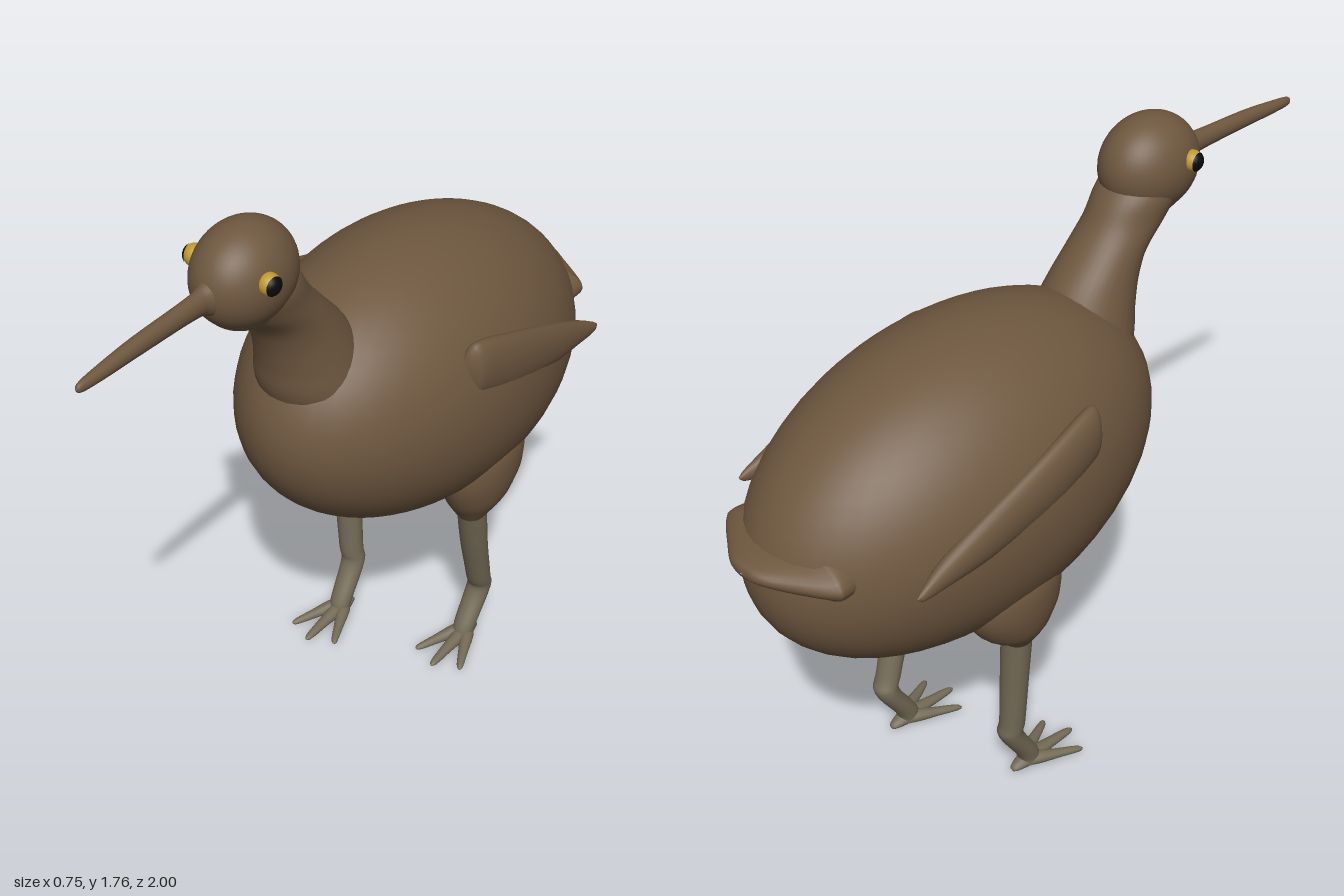
import * as THREE from 'three';

const plumage = new THREE.MeshStandardMaterial({ color: 0x6e573f });
plumage.name = 'brown plumage';
const legSkin = new THREE.MeshStandardMaterial({ color: 0x746b57 });
legSkin.name = 'grey leg skin';
const iris = new THREE.MeshStandardMaterial({ color: 0xc09a30 });
iris.name = 'yellow iris';
const pupilBlack = new THREE.MeshStandardMaterial({ color: 0x0a0a0a });
pupilBlack.name = 'black pupil';

// Smooth skin over elliptical rings. Each row is [x, y, z, radiusA, radiusB];
// rows ascend along the axis, 'z' (radii in x, y) or 'y' (radii in x, z).
function loft(rows, axis, sides = 24, steps = 5) {
  const centres = new THREE.CatmullRomCurve3(rows.map(r => new THREE.Vector3(r[0], r[1], r[2])), false, 'catmullrom');
  const radii = new THREE.CatmullRomCurve3(rows.map(r => new THREE.Vector3(r[3], r[4], 0)), false, 'catmullrom');
  const count = (rows.length - 1) * steps;
  const positions = [], index = [];
  for (let i = 0; i <= count; i++) {
    const c = centres.getPoint(i / count), r = radii.getPoint(i / count);
    const a = Math.max(r.x, 0.0005), b = Math.max(r.y, 0.0005);
    for (let j = 0; j < sides; j++) {
      const t = (j / sides) * Math.PI * 2;
      if (axis === 'z') positions.push(c.x + a * Math.cos(t), c.y + b * Math.sin(t), c.z);
      else positions.push(c.x + a * Math.sin(t), c.y, c.z + b * Math.cos(t));
      if (i < count) {
        const k = i * sides, n = (j + 1) % sides;
        index.push(k + j, k + n, k + sides + j, k + n, k + sides + n, k + sides + j);
      }
    }
  }
  const g = new THREE.BufferGeometry();
  g.setAttribute('position', new THREE.Float32BufferAttribute(positions, 3));
  g.setIndex(index);
  g.computeVertexNormals();
  return g;
}

function add(parent, name, geometry, material) {
  const mesh = new THREE.Mesh(geometry, material);
  mesh.name = name;
  parent.add(mesh);
  return mesh;
}

function ellipsoid(rx, ry, rz) {
  return new THREE.SphereGeometry(1, 48, 32).scale(rx, ry, rz);
}

// Leg with a bent ankle and a splayed foot; z is the fore-aft place of the ankle
function makeLeg(side, ankleZ) {
  const leg = new THREE.Group();
  leg.name = side > 0 ? 'leftLeg' : 'rightLeg';
  const footX = side * 0.187, footZ = ankleZ + 0.065;
  add(leg, 'thigh', loft([
    [side * 0.225, 0.535, -0.30, 0.038, 0.038],
    [side * 0.225, 0.56, -0.305, 0.055, 0.06],
    [side * 0.23, 0.62, -0.32, 0.085, 0.115],
    [side * 0.235, 0.71, -0.33, 0.1, 0.155],
    [side * 0.235, 0.80, -0.33, 0.09, 0.14],
    [side * 0.22, 0.88, -0.33, 0.03, 0.05],
  ], 'y'), plumage);
  add(leg, 'shank', loft([
    [footX, 0.012, footZ + 0.005, 0.03, 0.03],
    [footX, 0.05, footZ, 0.033, 0.034],
    [side * 0.19, 0.16, ankleZ, 0.037, 0.036],
    [side * 0.197, 0.22, ankleZ + (-0.3 - ankleZ) * 0.14, 0.037, 0.037],
    [side * 0.21, 0.40, ankleZ + (-0.3 - ankleZ) * 0.6, 0.042, 0.039],
    [side * 0.225, 0.60, -0.30, 0.046, 0.043],
  ], 'y', 20), legSkin);
  for (const spread of [-1, 0, 1]) {
    const reach = spread ? 0.15 : 0.185;
    add(leg, 'toe', loft([
      [footX, 0.02, footZ - 0.03, 0.012, 0.012],
      [footX + spread * 0.015, 0.022, footZ + 0.01, 0.024, 0.02],
      [footX + spread * 0.045, 0.017, footZ + reach * 0.5, 0.017, 0.014],
      [footX + spread * 0.072, 0.012, footZ + reach * 0.9, 0.011, 0.009],
      [footX + spread * 0.078, 0.01, footZ + reach, 0.001, 0.001],
    ], 'z', 12, 3), legSkin);
  }
  add(leg, 'hindToe', loft([
    [footX, 0.012, footZ - 0.06, 0.001, 0.001],
    [footX, 0.014, footZ - 0.05, 0.014, 0.011],
    [footX, 0.02, footZ, 0.026, 0.02],
    [footX, 0.02, footZ + 0.03, 0.01, 0.01],
  ], 'z', 12, 3), legSkin);
  return leg;
}

export function createModel() {
  const bird = new THREE.Group();
  bird.name = 'longBilledBird';

  // Egg-shaped body, chest tipped slightly up
  const body = add(bird, 'body', ellipsoid(0.376, 0.42, 0.648), plumage);
  body.position.set(0, 0.99, -0.31);
  body.rotation.x = -0.138;

  // Neck flaring into the chest
  add(bird, 'neck', loft([
    [0, 1.10, 0.13, 0.15, 0.13],
    [0, 1.20, 0.152, 0.148, 0.152],
    [0, 1.28, 0.172, 0.132, 0.145],
    [0, 1.36, 0.208, 0.114, 0.13],
    [0, 1.43, 0.257, 0.104, 0.116],
    [0, 1.50, 0.325, 0.102, 0.122],
    [0, 1.57, 0.375, 0.105, 0.125],
    [0, 1.63, 0.40, 0.08, 0.09],
  ], 'y', 36), plumage);

  // Head with a fuller throat
  add(bird, 'head', ellipsoid(0.12, 0.137, 0.152), plumage).position.set(0, 1.618, 0.412);
  const throat = add(bird, 'throat', ellipsoid(0.09, 0.085, 0.12), plumage);
  throat.position.set(0, 1.56, 0.43);
  throat.rotation.x = -0.4;

  // Long, slender bill
  add(bird, 'bill', loft([
    [0, 1.61, 0.50, 0.07, 0.075],
    [0, 1.612, 0.56, 0.032, 0.042],
    [0, 1.613, 0.61, 0.024, 0.03],
    [0, 1.612, 0.80, 0.021, 0.024],
    [0, 1.607, 0.92, 0.017, 0.018],
    [0, 1.604, 0.985, 0.01, 0.013],
    [0, 1.603, 1.0, 0.001, 0.001],
  ], 'z', 20), plumage);

  // Broad, flat tail
  add(bird, 'tail', loft([
    [0, 1.025, -1.0, 0.002, 0.002],
    [0, 1.025, -0.99, 0.055, 0.02],
    [0, 1.018, -0.95, 0.12, 0.036],
    [0, 1.012, -0.885, 0.212, 0.055],
    [0, 1.01, -0.85, 0.222, 0.08],
    [0, 1.0, -0.74, 0.2, 0.1],
  ], 'z', 32), plumage);

  for (const s of [1, -1]) {
    // Small wing folded against the flank, pointed behind
    add(bird, s > 0 ? 'leftWing' : 'rightWing', loft([
      [s * 0.345, 0.998, -0.745, 0.002, 0.002],
      [s * 0.343, 1.0, -0.72, 0.012, 0.018],
      [s * 0.335, 1.02, -0.64, 0.026, 0.04],
      [s * 0.34, 1.06, -0.50, 0.032, 0.065],
      [s * 0.34, 1.12, -0.30, 0.036, 0.085],
      [s * 0.325, 1.165, -0.15, 0.036, 0.085],
      [s * 0.315, 1.17, -0.11, 0.025, 0.065],
      [s * 0.30, 1.17, -0.09, 0.002, 0.002],
    ], 'z'), plumage);

    // Eye: ball with a dark cap facing outwards
    const eye = new THREE.Group();
    eye.name = s > 0 ? 'leftEye' : 'rightEye';
    add(eye, 'eyeball', new THREE.SphereGeometry(0.029, 24, 16), iris);
    const pupil = add(eye, 'pupil', new THREE.SphereGeometry(0.0305, 24, 10, 0, Math.PI * 2, 0, 1.0), pupilBlack);
    pupil.rotation.z = -s * Math.PI / 2;
    eye.position.set(s * 0.112, 1.645, 0.457);
    eye.rotation.y = -s * 0.15;
    bird.add(eye);
  }

  // Legs in mid-stride, the left one set back
  bird.add(makeLeg(1, -0.425), makeLeg(-1, -0.295));
  return bird;
}
